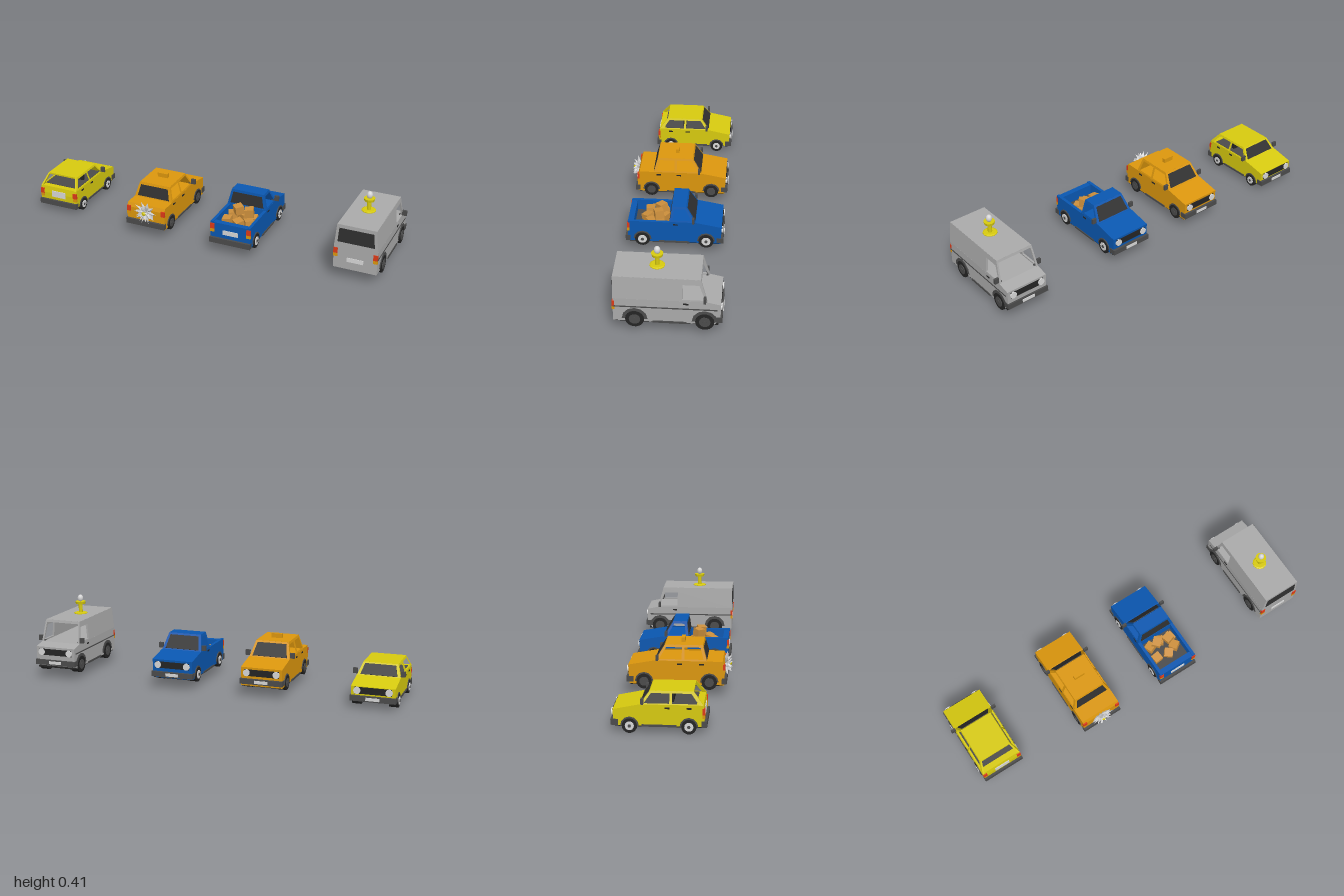
import * as THREE from 'three';

const mat = (name, color) => Object.assign(new THREE.MeshStandardMaterial({ color }), { name });
const M = {
  yellow: mat('yellow paint', 0xd6c90f), orange: mat('orange paint', 0xdb960d),
  blue: mat('blue paint', 0x0a57b0), grey: mat('grey paint', 0xa9a9a9),
  black: mat('black rubber', 0x242424), dark: mat('dark trim', 0x4b4b4b),
  glass: mat('dark glass', 0x303030), light: mat('light chrome', 0xd6d6d6),
  red: mat('red lamp', 0xdc3a18), card: mat('cardboard', 0xcc8f3c),
};

function add(parent, name, geo, material, x = 0, y = 0, z = 0) {
  const m = new THREE.Mesh(geo, material);
  m.name = name;
  m.position.set(x, y, z);
  parent.add(m);
  return m;
}
const box = (g, name, m, size, pos) => add(g, name, new THREE.BoxGeometry(...size), m, ...pos);

// Outline of [z, y] points extruded across x and centred on x = cx
function slab(points, width, cx = 0, holes = []) {
  const toShape = (p) => p.map(([a, b]) => new THREE.Vector2(a, b));
  const s = new THREE.Shape(toShape(points));
  holes.forEach((h) => s.holes.push(new THREE.Path(toShape(h))));
  const geo = new THREE.ExtrudeGeometry(s, { depth: width, bevelEnabled: false });
  return geo.translate(0, 0, -width / 2).rotateY(-Math.PI / 2).translate(cx, 0, 0);
}

// Narrow a geometry towards the roof
function taper(geo, belt, top, f) {
  const p = geo.attributes.position;
  for (let i = 0; i < p.count; i++) {
    const t = THREE.MathUtils.clamp((p.getY(i) - belt) / (top - belt), 0, 1);
    p.setX(i, p.getX(i) * (1 - (1 - f) * t));
  }
  geo.computeVertexNormals();
  return geo;
}

// Thin sheet along the line p to q, lying on one side of it
function sheet(p, q, width, from, to) {
  const dz = q[0] - p[0], dy = q[1] - p[1], l = Math.hypot(dz, dy);
  const off = ([z, y], d) => [z - (dy / l) * d, y + (dz / l) * d];
  return slab([off(p, from), off(q, from), off(q, to), off(p, to)], width);
}
const mix = (p, q, t) => [p[0] + (q[0] - p[0]) * t, p[1] + (q[1] - p[1]) * t];

function cabin(car, s) {
  const c = s.cabin, belt = c[0][1], top = c[1][1];
  const fit = (geo) => taper(geo, belt, top, s.taper);
  for (const k of [-1, 1])
    add(car, 'cabinSide', fit(slab(c, 0.01, k * (s.w / 2 - 0.005), s.windows)), s.paint);
  ['windscreen', 'roof', 'rearWindow'].forEach((name, i) => {
    if (s.open === name) return;
    const p = c[i], q = c[i + 1];
    add(car, name + 'Panel', fit(sheet(p, q, s.w - 0.002, -0.008, 0.0005)), s.paint);
    if (name === 'roof') return;
    const [a, b] = name === 'windscreen' ? [0.08, 0.88] : [0.16, s.rearGlass];
    add(car, name, fit(sheet(mix(p, q, a), mix(p, q, b), s.w * 0.86, 0, 0.003)), M.glass);
  });
}

function wheel(car, x, s, z, side) {
  const g = new THREE.Group();
  g.name = 'wheel';
  g.position.set(x, s.wheelY, z);
  const disc = (name, r, w, m, cx, n = 18) =>
    add(g, name, new THREE.CylinderGeometry(r, r, w, n).rotateZ(Math.PI / 2), m, cx);
  disc('tyre', s.r, 0.045, M.black, -side * 0.018);
  disc('hub', s.r * 0.6, 0.004, s.hub, side * 0.0055, 14);
  disc('hubCap', s.r * 0.22, 0.004, M.dark, side * 0.008, 8);
  car.add(g);
  // Faceted flare over the wheel
  const flare = [];
  const arc = (r, i) => [z + r * Math.cos((i / 6) * Math.PI), s.wheelY + r * Math.sin((i / 6) * Math.PI)];
  for (let i = 0; i <= 6; i++) flare.push(arc(s.r * s.flare, i));
  for (let i = 6; i >= 0; i--) flare.push(arc(s.r * 0.98, i));
  add(car, 'wheelArch', slab(flare, 0.008, x - side * 0.001), M.dark);
}

function vehicle(name, s) {
  const car = new THREE.Group();
  car.name = name;
  car.position.x = s.x;
  const [back, bottom] = s.hull[0], nose = s.nose, half = s.w / 2;
  add(car, 'body', slab(s.hull, s.w), s.paint);
  box(car, 'underside', M.black, [s.w - 0.004, 0.006, back - nose - 0.02], [0, bottom - 0.001, (back + nose) / 2]);
  cabin(car, s);

  // Bumpers, grille and number plates
  box(car, 'frontBumper', M.dark, [s.w + 0.008, 0.028, 0.035], [0, s.bumperY, nose + 0.008]);
  if (s.rearBumper) box(car, 'rearBumper', M.dark, [s.w + 0.006, 0.03, 0.025], [0, s.bumperY - 0.004, back]);
  box(car, 'grille', M.black, [s.w * 0.84, 0.034, 0.006], [0, s.lampY, nose]);
  box(car, 'frontPlate', M.light, [0.07, 0.016, 0.004], [0, s.bumperY, nose - 0.011]);
  box(car, 'rearPlate', M.light, [0.085, s.plateH, 0.005], [0, s.plateY, back + 0.001]);

  for (const k of [-1, 1]) {
    for (const z of s.axles) wheel(car, k * half, s, z, k);
    const lamp = new THREE.CylinderGeometry(0.018, 0.018, 0.012, 14).rotateX(Math.PI / 2);
    add(car, 'headlight', lamp, M.light, k * s.w * 0.36, s.lampY, nose - 0.002);
    box(car, 'tailLight', M.red, [0.022, 0.03, 0.012], [k * (half - 0.01), s.tailY, back - 0.002]);
    box(car, 'indicator', M.orange, [0.022, 0.018, 0.012], [k * (half - 0.01), s.tailY - 0.024, back - 0.002]);
    // Wing mirrors and door handles
    const mz = s.cabin[0][0] + 0.012, my = s.cabin[0][1] + 0.02;
    box(car, 'mirror', s.mirror, [0.024, 0.028, 0.012], [k * (half + 0.01), my, mz]);
    box(car, 'mirrorArm', M.dark, [0.025, 0.006, 0.008], [k * (half - 0.006), my - 0.012, mz]);
    for (const z of s.handles)
      box(car, 'doorHandle', M.black, [0.005, 0.007, 0.024], [k * half, s.cabin[0][1] - 0.014, z]);
    box(car, 'sill', M.dark, [0.008, 0.01, 0.16], [k * half, bottom + 0.002, (s.axles[0] + s.axles[1]) / 2]);
  }
  return car;
}

// Small ringed flower with spiky petals, tied to the tail of the taxi
function flower() {
  const g = new THREE.Group();
  g.name = 'spikyFlower';
  const up = new THREE.Vector3(0, 1, 0);
  for (const [n, len, tilt, phase] of [[10, 0.066, 0.2, 0], [8, 0.056, 0.75, 0.3], [5, 0.045, 1.6, 0.1]])
    for (let i = 0; i < n; i++) {
      const a = phase + (i / n) * Math.PI * 2;
      const dir = new THREE.Vector3(Math.cos(a), Math.sin(a), tilt).normalize();
      const petal = new THREE.OctahedronGeometry(1).scale(0.011, len / 2, 0.008).translate(0, len / 2, 0);
      add(g, 'petal', petal, M.light).quaternion.setFromUnitVectors(up, dir);
    }
  add(g, 'flowerCentre', new THREE.IcosahedronGeometry(0.014, 0), M.yellow, 0, 0, 0.022);
  return g;
}

export function createModel() {
  const root = new THREE.Group();
  root.name = 'fourVehicles';

  // Yellow hatchback
  const hatch = vehicle('hatchback', {
    x: -0.873, w: 0.224, paint: M.yellow, nose: -0.25, taper: 0.8, open: 'rearWindow',
    hull: [[0.17, 0.036], [-0.245, 0.036], [-0.25, 0.112], [-0.125, 0.138], [0.166, 0.138], [0.172, 0.1]],
    cabin: [[-0.125, 0.136], [-0.08, 0.197], [0.12, 0.197], [0.168, 0.136]],
    windows: [[[-0.107, 0.143], [-0.075, 0.187], [0.01, 0.187], [0.01, 0.143]],
      [[0.022, 0.143], [0.022, 0.187], [0.11, 0.187], [0.143, 0.143]]],
    axles: [-0.172, 0.1], r: 0.035, wheelY: 0.036, flare: 1.22, hub: M.light, mirror: M.dark,
    bumperY: 0.052, rearBumper: true, lampY: 0.092, tailY: 0.108, plateY: 0.098, plateH: 0.036, handles: [0.0, 0.1],
  });
  box(hatch, 'cabinFloor', M.dark, [0.2, 0.004, 0.25], [0, 0.138, 0.01]);
  for (const x of [-0.045, 0.045]) box(hatch, 'seatBack', M.black, [0.06, 0.035, 0.016], [x, 0.155, 0.02]);

  // Orange taxi
  const taxi = vehicle('taxi', {
    x: -0.295, w: 0.22, paint: M.orange, nose: -0.25, taper: 0.8, rearGlass: 0.9,
    hull: [[0.235, 0.06], [-0.245, 0.06], [-0.25, 0.158], [-0.12, 0.182], [0.226, 0.182], [0.235, 0.16]],
    cabin: [[-0.115, 0.18], [-0.065, 0.26], [0.125, 0.26], [0.147, 0.18]],
    windows: [[[-0.095, 0.19], [-0.06, 0.248], [0.02, 0.248], [0.02, 0.19]],
      [[0.034, 0.19], [0.034, 0.248], [0.114, 0.248], [0.13, 0.19]]],
    axles: [-0.17, 0.16], r: 0.039, wheelY: 0.074, flare: 1.2, hub: M.dark, mirror: M.dark,
    bumperY: 0.085, rearBumper: true, lampY: 0.13, tailY: 0.152, plateY: 0.125, plateH: 0.025, handles: [0.01, 0.12],
  });
  box(taxi, 'roofSign', M.orange, [0.058, 0.024, 0.02], [0, 0.272, 0.022]);
  const bloom = flower();
  bloom.position.set(0, 0.147, 0.235);
  taxi.add(bloom);

  // Blue pickup
  const pickup = vehicle('pickup', {
    x: 0.194, w: 0.222, paint: M.blue, nose: -0.25, taper: 0.82, rearGlass: 0.9,
    hull: [[0.235, 0.06], [-0.245, 0.06], [-0.25, 0.158], [-0.12, 0.182], [0.02, 0.182], [0.02, 0.115], [0.235, 0.115]],
    cabin: [[-0.115, 0.18], [-0.065, 0.263], [0.008, 0.263], [0.018, 0.18]],
    windows: [[[-0.095, 0.19], [-0.06, 0.25], [-0.004, 0.25], [0.004, 0.19]]],
    axles: [-0.17, 0.16], r: 0.039, wheelY: 0.074, flare: 1.2, hub: M.light, mirror: M.dark,
    bumperY: 0.08, rearBumper: true, lampY: 0.13, tailY: 0.153, plateY: 0.125, plateH: 0.025, handles: [-0.01],
  });
  for (const k of [-1, 1]) box(pickup, 'bedSide', M.blue, [0.016, 0.065, 0.215], [k * 0.103, 0.146, 0.1275]);
  box(pickup, 'tailgate', M.blue, [0.222, 0.06, 0.03], [0, 0.144, 0.22]);
  box(pickup, 'bedFloor', M.dark, [0.19, 0.004, 0.185], [0, 0.117, 0.112]);
  [[-0.06, 0.14, 0.06, 0.4], [0, 0.14, 0.055, 1.1], [0.06, 0.14, 0.07, 0.2], [-0.062, 0.14, 0.13, 0.1],
    [0.005, 0.14, 0.14, 0.9], [0.055, 0.14, 0.12, 0.6], [-0.025, 0.186, 0.07, 0.75], [0.04, 0.186, 0.08, 0.3],
  ].forEach(([x, y, z, r]) => {
    box(pickup, 'cargoBox', M.card, [0.046, 0.045, 0.046], [x, y, z]).rotation.set(0.12 * Math.sin(r * 9), r, 0.1);
  });

  // Grey van
  const van = vehicle('van', {
    x: 0.863, w: 0.226, paint: M.grey, nose: -0.275, taper: 0.9, rearGlass: 0.8, open: 'windscreen',
    hull: [[0.229, 0.066], [-0.25, 0.066], [-0.275, 0.1], [-0.277, 0.178], [-0.212, 0.192], [0.229, 0.192]],
    cabin: [[-0.214, 0.19], [-0.182, 0.308], [0.229, 0.308], [0.229, 0.19]],
    windows: [[[-0.096, 0.279], [-0.175, 0.279], [-0.203, 0.2], [-0.096, 0.2]]],
    axles: [-0.202, 0.127], r: 0.045, wheelY: 0.08, flare: 1.35, hub: M.dark, mirror: M.dark,
    bumperY: 0.094, rearBumper: false, lampY: 0.15, tailY: 0.162, plateY: 0.12, plateH: 0.022, handles: [-0.113],
  });
  for (const k of [-1, 1]) box(van, 'sideStripe', M.dark, [0.004, 0.006, 0.49], [k * 0.113, 0.148, -0.016]);
  add(van, 'screenHeader', slab([[-0.182, 0.308], [-0.185, 0.295], [-0.176, 0.295], [-0.172, 0.308]], 0.2), M.grey);

  // Roof beacon
  const beacon = new THREE.Group();
  beacon.name = 'beacon';
  beacon.position.set(-0.004, 0.307, 0.029);
  const ring = [[0, 0], [0.037, 0], [0.037, 0.005], [0.03, 0.008], [0.011, 0.008], [0.011, 0.054],
    [0.026, 0.056], [0.029, 0.07], [0, 0.07]].map(([r, y]) => new THREE.Vector2(r, y));
  const stand = new THREE.LatheGeometry(ring, 12).toNonIndexed();
  stand.computeVertexNormals();
  add(beacon, 'beaconStand', stand, M.yellow);
  add(beacon, 'beaconBulb', new THREE.SphereGeometry(0.016, 10, 8).scale(1, 1.25, 1), M.light, 0, 0.087);
  van.add(beacon);

  root.add(hatch, taxi, pickup, van);
  return root;
}
